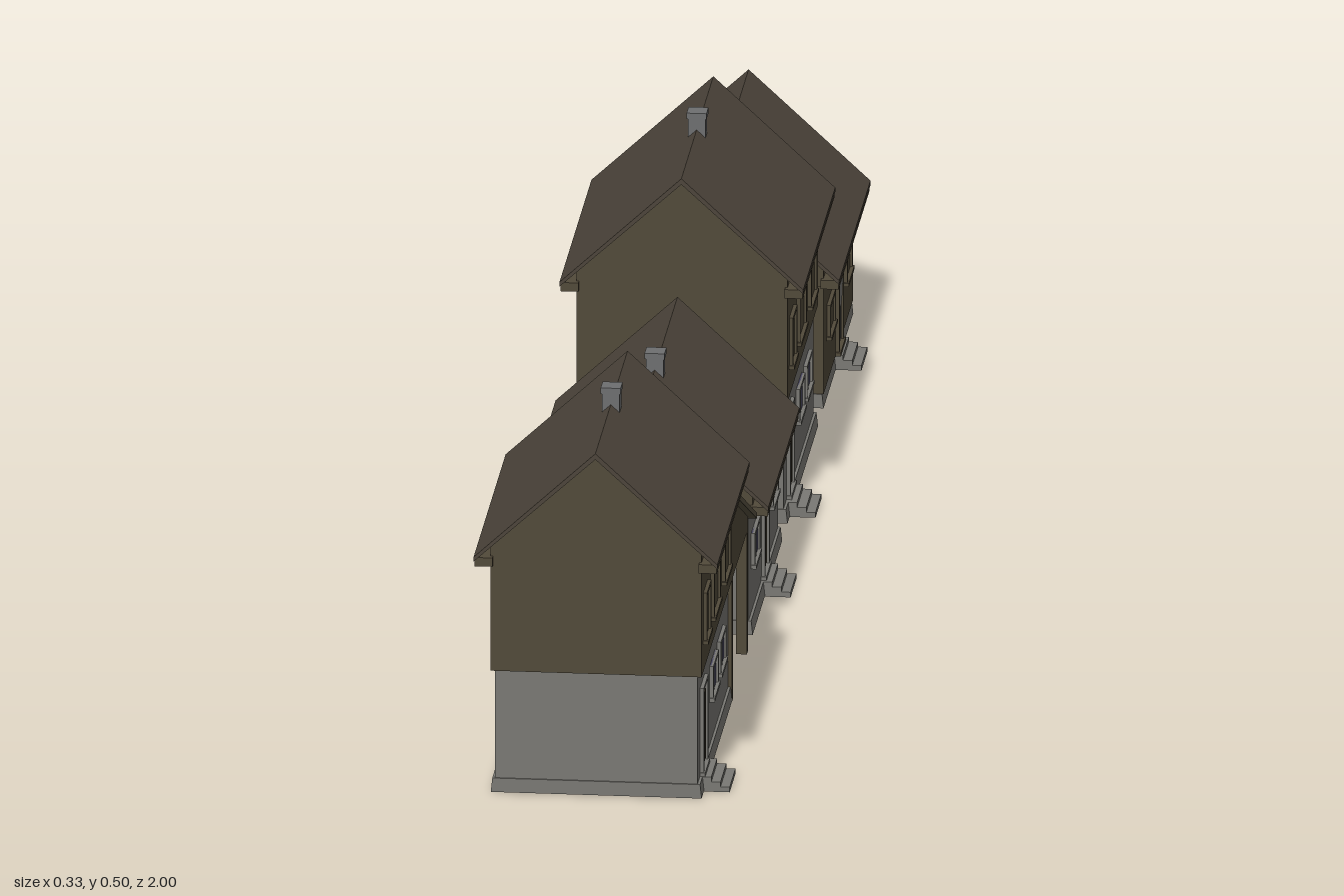
import * as THREE from 'three';

const mat = (name, color) => {
  const m = new THREE.MeshStandardMaterial({ color, side: THREE.DoubleSide });
  m.name = name;
  return m;
};

export function createModel() {
  const plaster = mat('grey plaster', 0x7a7974);
  const timber = mat('olive timber', 0x524a3a);
  const shingle = mat('brown shingle', 0x4d453b);
  const porchRoof = mat('light olive shingle', 0x5a5442);
  const glass = mat('blue grey glass', 0x4a4862);
  const stone = mat('chimney stone', 0x6e6f70);
  const dark = mat('dark underside', 0x39352a);

  const street = new THREE.Group();
  street.name = 'houseRow';

  // Box given by its limits on each axis
  const box = (parent, name, m, [x0, x1], [y0, y1], [z0, z1]) => {
    const mesh = new THREE.Mesh(new THREE.BoxGeometry(x1 - x0, y1 - y0, z1 - z0), m);
    mesh.position.set((x0 + x1) / 2, (y0 + y1) / 2, (z0 + z1) / 2);
    mesh.name = name;
    parent.add(mesh);
    return mesh;
  };

  // Outline in x and y, extruded along z
  const prism = (parent, name, m, pts, z0, z1) => {
    const shape = new THREE.Shape(pts.map(p => new THREE.Vector2(...p)));
    const geo = new THREE.ExtrudeGeometry(shape, { depth: z1 - z0, bevelEnabled: false });
    const mesh = new THREE.Mesh(geo, m);
    mesh.position.z = z0;
    mesh.name = name;
    parent.add(mesh);
    return mesh;
  };

  const UP = 0.1375;   // half width of timber walls
  const LOW = 0.132;   // half width of plaster walls
  const EAVE = 0.159;  // half width of roof

  // Four bars around an opening on the street side
  const frame = (parent, m, x, z, y0, y1, w) => {
    const t = 0.005, X = [x, x + 0.005];
    for (const s of [-1, 1]) box(parent, 'frameSide', m, X, [y0, y1], [z + s * w / 2 - t / 2, z + s * w / 2 + t / 2]);
    box(parent, 'frameTop', m, X, [y1 - t, y1], [z - w / 2, z + w / 2]);
    box(parent, 'frameSill', m, [x, x + 0.007], [y0, y0 + t], [z - w / 2 - 0.005, z + w / 2 + 0.005]);
  };

  const addWindow = (parent, x, z, y0, y1, w, trim, pane) => {
    const g = new THREE.Group();
    g.name = 'window';
    parent.add(g);
    box(g, 'pane', pane, [x, x + 0.002], [y0, y1], [z - w / 2, z + w / 2]);
    frame(g, trim, x, z, y0, y1, w);
    if (pane === glass) box(g, 'mullion', trim, [x, x + 0.003], [y0, y1], [z - 0.001, z + 0.001]);
  };

  const addDoor = (parent, x, z, trim, slat) => {
    const g = new THREE.Group();
    g.name = 'door';
    parent.add(g);
    frame(g, trim, x, z, 0.02, 0.14, 0.055);
    for (let i = -1; i <= 1; i++) {
      box(g, 'doorSlat', slat, [x, x + 0.003], [0.03, 0.125], [z + i * 0.013 - 0.003, z + i * 0.013 + 0.003]);
    }
  };

  const addHouse = ({ z0, z1, tall, lower, door, step, windows, chimney }) => {
    const h = new THREE.Group();
    h.name = tall ? 'tallHouse' : 'cottage';
    h.position.x = -0.006;
    street.add(h);
    const a = z0 + 0.01, b = z1 - 0.01;
    const eave = tall ? 0.325 : 0.18, ridge = eave + 0.147;
    const wallTop = ridge - 0.008 - UP * 0.147 / EAVE;
    const half = lower === timber ? UP : LOW;

    // Foundation, floor and street steps
    prism(h, 'foundation', plaster, [[-UP, 0.001], [UP, 0.001], [UP - 0.002, 0.02], [-UP + 0.002, 0.02]], a, b);
    box(h, 'floorUnderside', dark, [-UP + 0.003, UP - 0.003], [0, 0.002], [a + 0.003, b - 0.003]);
    [[0.147, 0.02], [0.159, 0.0135], [0.171, 0.007]].forEach(([x, y]) =>
      box(h, 'step', plaster, [UP - 0.01, x], [0, y], [step - 0.038, step + 0.038]));

    // Walls and gables
    box(h, 'lowerWalls', lower, [-half, half], [0.02, 0.167], [a + 0.002, b - 0.002]);
    prism(h, 'gableWalls', timber,
      [[-UP, 0.167], [UP, 0.167], [UP, wallTop], [0, ridge - 0.008], [-UP, wallTop]], a, b);

    // Roof slopes and boxed eaves
    for (const s of [-1, 1]) {
      prism(h, 'roofSlope', shingle,
        [[0, ridge], [s * EAVE, eave], [s * EAVE, eave - 0.006], [0, ridge - 0.008]], z0, z1);
      box(h, 'eaveBoard', timber, s > 0 ? [UP - 0.003, EAVE - 0.001] : [-EAVE + 0.001, -UP + 0.003],
        [eave - 0.013, eave - 0.001], [z0 + 0.002, z1 - 0.002]);
    }

    // Chimney with a cap
    const cy = ridge + 0.023;
    box(h, 'chimney', stone, [-0.0115, 0.0115], [ridge - 0.03, cy - 0.006], [chimney - 0.0115, chimney + 0.0115]);
    box(h, 'chimneyCap', stone, [-0.013, 0.013], [cy - 0.008, cy], [chimney - 0.013, chimney + 0.013]);

    // Openings
    addDoor(h, half, door, lower, timber === lower ? plaster : timber);
    const pane = lower === timber ? timber : glass;
    windows.forEach(z => addWindow(h, half, z, 0.08, 0.128, 0.066, lower === timber ? timber : plaster, pane));
    if (tall) {
      [[0.05, 0.05], [0.16, 0.08], [0.3, 0.07]].forEach(([d, w]) =>
        addWindow(h, UP, b - d, 0.205, 0.275, w, timber, timber));
    }
    return h;
  };

  const first = addHouse({ z0: 0.58, z1: 1, tall: true, lower: plaster, door: 0.925, step: 0.92,
    windows: [0.795, 0.695], chimney: 0.788 });
  addHouse({ z0: -0.072, z1: 0.333, tall: false, lower: plaster, door: 0.125, step: 0.125,
    windows: [0.252, 0.012], chimney: 0.215 });
  addHouse({ z0: -0.54, z1: -0.122, tall: true, lower: plaster, door: -0.205, step: -0.2,
    windows: [-0.335, -0.43], chimney: -0.333 });
  const last = addHouse({ z0: -1, z1: -0.592, tall: false, lower: timber, door: -0.79, step: -0.8,
    windows: [-0.68, -0.9], chimney: -0.71 });

  // Round light in the timber cottage door
  const disc = new THREE.Mesh(new THREE.CylinderGeometry(0.027, 0.027, 0.004, 10), plaster);
  disc.rotation.z = Math.PI / 2;
  disc.position.set(UP + 0.002, 0.105, -0.787);
  disc.name = 'doorLight';
  last.add(disc);

  // Open lean-to behind the first house
  const lean = new THREE.Group();
  lean.name = 'leanTo';
  first.add(lean);
  // Outline in z and y, extruded across x
  const across = (name, m, pts, x0, x1) => {
    const mesh = prism(lean, name, m, pts.map(([z, y]) => [-z, y]), x0, x1);
    mesh.rotation.y = Math.PI / 2;
    mesh.position.set(x0, 0, 0);
  };
  across('leanToRoof', porchRoof, [[0.592, 0.285], [0.362, 0.182], [0.362, 0.174], [0.592, 0.277]], -0.147, 0.147);
  for (const x of [-UP, UP - 0.006]) {
    across('leanToGable', timber, [[0.592, 0.167], [0.385, 0.167], [0.385, 0.184], [0.592, 0.277]], x, x + 0.006);
  }
  box(lean, 'sidePanel', timber, [-UP, -UP + 0.008], [0, 0.167], [0.385, 0.592]);
  box(lean, 'backBeam', timber, [-UP, UP], [0.165, 0.18], [0.385, 0.397]);
  for (const z of [0.385, 0.578]) box(lean, 'post', timber, [UP - 0.014, UP], [0, 0.167], [z, z + 0.014]);
  box(lean, 'post', timber, [-UP, -UP + 0.014], [0, 0.167], [0.385, 0.399]);

  return street;
}
